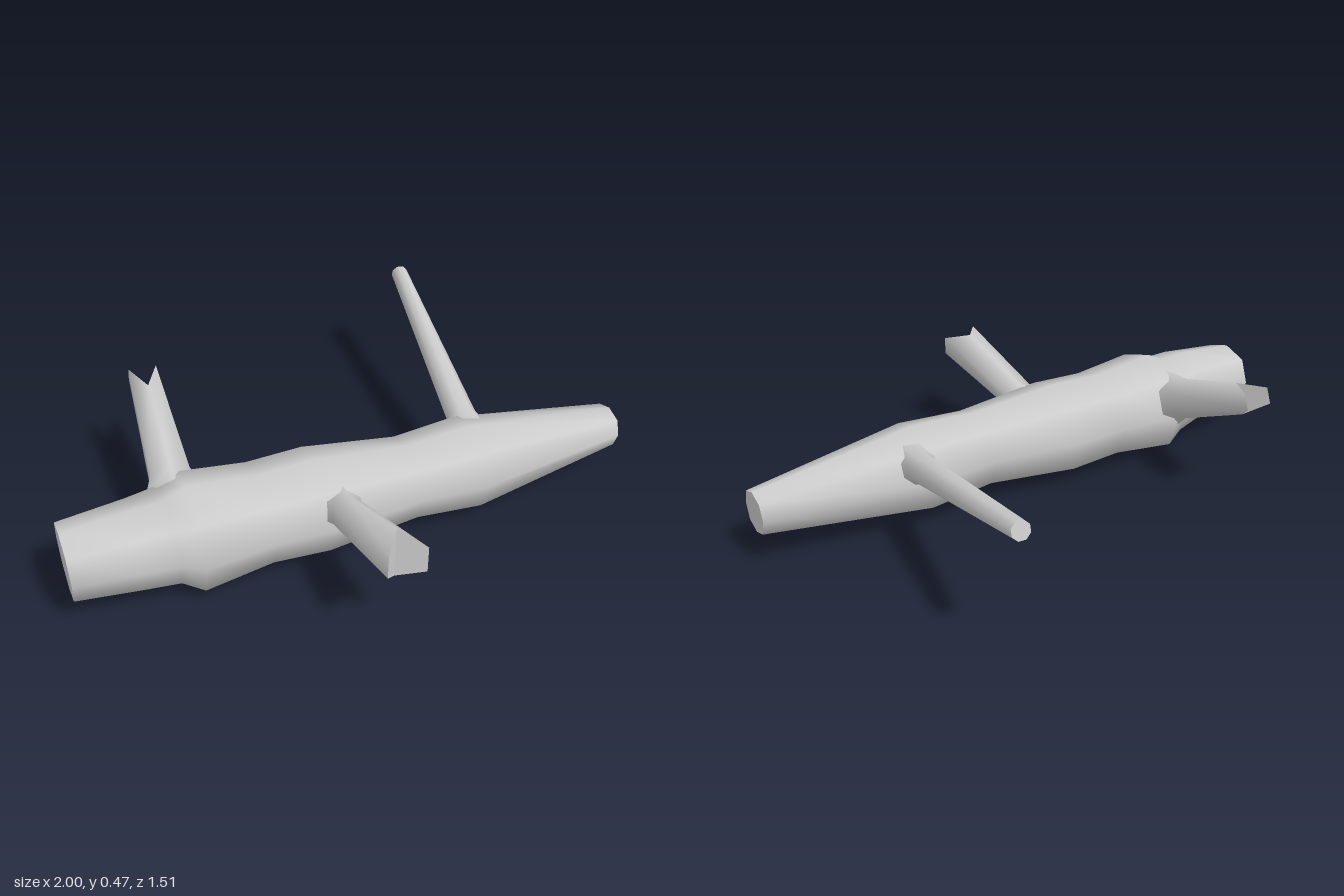
import * as THREE from 'three';

const material = new THREE.MeshStandardMaterial({ color: 0xcccccc, side: THREE.DoubleSide });

// Skin over equal-sized rings (anticlockwise about the travel direction), with separate creased end caps.
function loft(name, rings, centres) {
  const n = rings[0].length, last = rings.length - 1;
  const pos = [], index = [];
  rings.forEach(r => r.forEach(p => pos.push(p.x, p.y, p.z)));
  for (let i = 0; i < last; i++) {
    for (let k = 0; k < n; k++) {
      const a = i * n + k, b = i * n + (k + 1) % n;
      index.push(a, b, b + n, a, b + n, a + n);
    }
  }
  for (const end of [0, last]) {
    const c = centres[end];
    for (let k = 0; k < n; k++) {
      const p = rings[end][k], q = rings[end][(k + 1) % n];
      const base = pos.length / 3;
      for (const v of end ? [c, p, q] : [c, q, p]) pos.push(v.x, v.y, v.z);
      index.push(base, base + 1, base + 2);
    }
  }
  const g = new THREE.BufferGeometry();
  g.setAttribute('position', new THREE.Float32BufferAttribute(pos, 3));
  g.setIndex(index);
  g.computeVertexNormals();
  const mesh = new THREE.Mesh(g, material);
  mesh.name = name;
  return mesh;
}

// Octagonal trunk from stations: x, bottom y, top y, back z, front z
function makeTrunk() {
  const stations = [
    [-1, 0.08, 0.315, 0.05, 0.305], [-0.77, 0.06, 0.335, 0.03, 0.33],
    [-0.66, 0.045, 0.335, 0.0, 0.335], [-0.59, 0.0, 0.368, -0.03, 0.37],
    [-0.35, 0.03, 0.343, -0.005, 0.345], [-0.15, 0.02, 0.35, -0.01, 0.355],
    [0.18, 0.05, 0.32, 0.04, 0.325], [0.42, 0.03, 0.335, 0.02, 0.34],
    [1, 0.11, 0.255, 0.1, 0.255],
  ];
  const centres = stations.map(([x, y0, y1, z0, z1]) => new THREE.Vector3(x, (y0 + y1) / 2, (z0 + z1) / 2));
  const rings = stations.map(([x, y0, y1, z0, z1], i) => Array.from({ length: 8 }, (_, k) => {
    const a = k * Math.PI / 4, s = k % 2 ? 1.05 : 1;
    return new THREE.Vector3(x,
      centres[i].y + Math.cos(a) * s * (y1 - y0) / 2,
      centres[i].z + Math.sin(a) * s * (z1 - z0) / 2);
  }));
  return loft('trunk', rings, centres);
}

// Tapered branch with a flared root; notch is the depth of the V cut in its end.
function makeBranch(name, from, to, r0, r1, { sides = 6, notch = 0, roll = 0 } = {}) {
  const a = new THREE.Vector3(...from), b = new THREE.Vector3(...to);
  const d = b.clone().sub(a).normalize();
  const u = new THREE.Vector3(1, 0, 0).addScaledVector(d, -d.x).normalize().applyAxisAngle(d, roll);
  const v = d.clone().cross(u);
  const root = a.clone().addScaledVector(d, -0.09);
  const centres = [root, a, b.clone().addScaledVector(d, -notch)];
  const rings = [[root, r0 * 1.5], [a, r0], [b, r1]].map(([c, r], i) =>
    Array.from({ length: sides }, (_, k) => {
      const t = (k + 0.5) / sides * Math.PI * 2;
      const p = c.clone().addScaledVector(u, Math.cos(t) * r).addScaledVector(v, Math.sin(t) * r);
      if (i === 2) p.addScaledVector(d, -notch * (1 - Math.min(1, Math.abs(Math.cos(t)) / 0.866)));
      return p;
    }));
  return loft(name, rings, centres);
}

export function createModel() {
  const model = new THREE.Group();
  model.name = 'fallenLog';
  model.add(
    makeTrunk(),
    makeBranch('longBackBranch', [0.475, 0.255, 0.02], [0.575, 0.44, -0.747], 0.053, 0.031, { sides: 8 }),
    makeBranch('notchedBackBranch', [-0.595, 0.26, -0.03], [-0.567, 0.422, -0.445], 0.077, 0.056, { notch: 0.1 }),
    makeBranch('notchedFrontBranch', [-0.11, 0.25, 0.35], [-0.08, 0.355, 0.742], 0.06, 0.077, { notch: 0.08, roll: -0.15 }),
  );
  return model;
}
